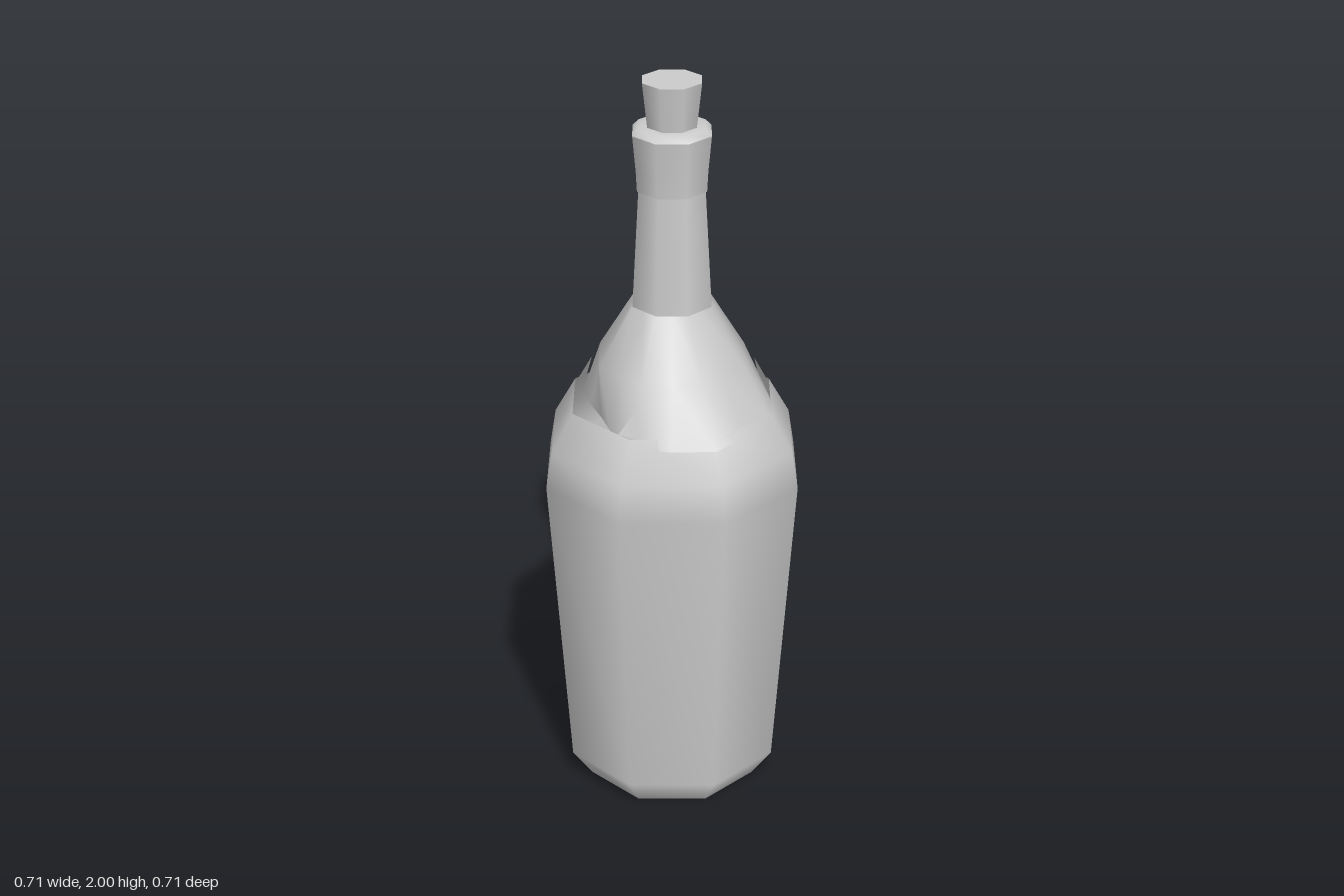
import * as THREE from 'three';

const SIDES = 8;
const material = new THREE.MeshStandardMaterial({ color: 0xcccccc, side: THREE.DoubleSide });

// Eight-sided turned part; profile runs from bottom to top as [radius, height]
function turned(name, profile) {
  const points = profile.map(([r, y]) => new THREE.Vector2(r, y));
  const mesh = new THREE.Mesh(new THREE.LatheGeometry(points, SIDES), material);
  mesh.name = name;
  return mesh;
}

// Smooth surface through closed rings, listed from top to bottom
function skin(name, rings) {
  const n = rings[0].length;
  const index = [];
  for (let j = 0; j < rings.length - 1; j++) {
    for (let i = 0; i < n; i++) {
      const k = (i + 1) % n;
      const a = j * n + i, b = j * n + k, c = a + n, d = b + n;
      index.push(a, b, c, b, d, c);
    }
  }
  const geometry = new THREE.BufferGeometry();
  geometry.setAttribute('position', new THREE.Float32BufferAttribute(rings.flat(2), 3));
  geometry.setIndex(index);
  geometry.computeVertexNormals();
  const mesh = new THREE.Mesh(geometry, material);
  mesh.name = name;
  return mesh;
}

// Ring of points, counted from +x towards +z
function ring(radii, y) {
  return radii.map((r, i) => {
    const a = (i / radii.length) * Math.PI * 2;
    return [r * Math.cos(a), y, r * Math.sin(a)];
  });
}

// Pointed splinter standing on the rim
function shard(a, b, tip) {
  const geometry = new THREE.BufferGeometry();
  geometry.setAttribute('position', new THREE.Float32BufferAttribute([...a, ...b, ...tip], 3));
  geometry.computeVertexNormals();
  const mesh = new THREE.Mesh(geometry, material);
  mesh.name = 'rimShard';
  return mesh;
}

export function createModel() {
  const bottle = new THREE.Group();
  bottle.name = 'bottle';

  // Body with an open rim at the shoulder
  bottle.add(turned('base', [[0, 0], [0.24, 0]]));
  bottle.add(turned('body', [
    [0.24, 0], [0.297, 0.08], [0.357, 0.92], [0.34, 1.02], [0.28, 1.125],
  ]));

  // Shoulder: an even cone above, sinking inside the rim on one side
  const octagon = (r) => Array.from({ length: 16 }, (_, i) => r * (i % 2 ? 0.924 : 1));
  const hem = [
    0.285, 0.27, 0.298, 0.28, 0.275, 0.225, 0.2, 0.215,
    0.255, 0.215, 0.19, 0.2, 0.215, 0.2, 0.27, 0.266,
  ];
  bottle.add(skin('shoulder', [
    ring(octagon(0.11), 1.4),
    ring(octagon(0.205), 1.245),
    ring(hem, 1.1),
  ]));

  // Splinters on the rim
  bottle.add(shard([-0.265, 1.125, 0.045], [-0.265, 1.125, -0.045], [-0.23, 1.2, 0]));
  bottle.add(shard([-0.04, 1.125, 0.264], [0.02, 1.125, 0.273], [0, 1.19, 0.237]));
  bottle.add(shard([0.16, 1.125, -0.215], [0.21, 1.125, -0.17], [0.167, 1.195, -0.167]));

  // Neck, lip and stopper
  bottle.add(turned('neck', [[0.11, 1.4], [0.092, 1.715]]));
  bottle.add(turned('lip', [[0.096, 1.715], [0.099, 1.77], [0.108, 1.865]]));
  bottle.add(turned('lipTop', [[0.108, 1.865], [0.092, 1.882], [0.06, 1.882]]));
  bottle.add(turned('stopper', [[0.066, 1.87], [0.081, 2]]));
  bottle.add(turned('stopperTop', [[0.081, 2], [0, 2]]));
  return bottle;
}
